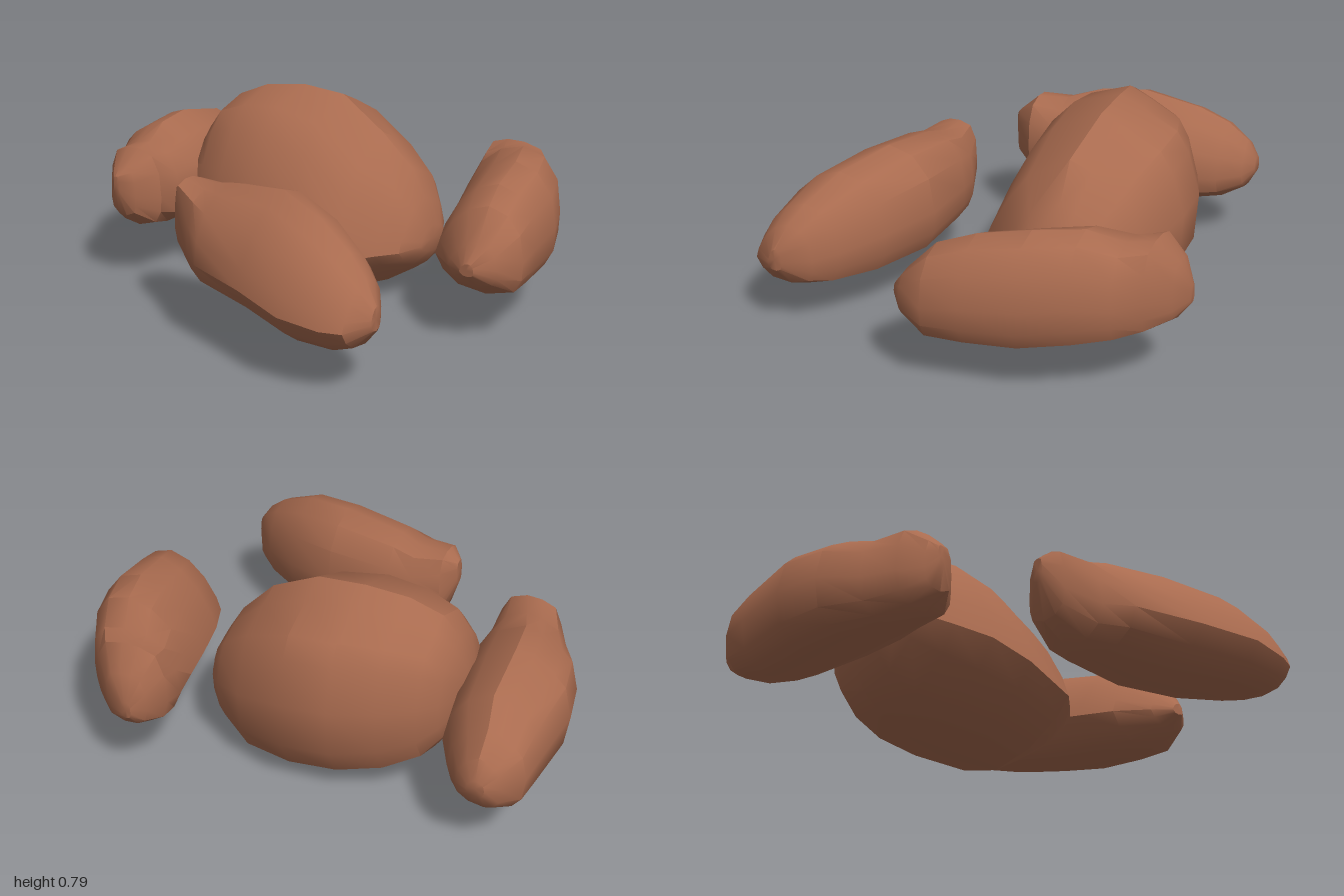
import * as THREE from 'three';
import { toCreasedNormals } from 'three/addons/utils/BufferGeometryUtils.js';

const clay = new THREE.MeshStandardMaterial({ color: 0xa96b4f });
clay.name = 'reddish brown stone';

// Unit cross-sections: u runs -1..1 across, v runs 0..1 upward, counter-clockwise
const boulderRing = [[1, 0.5], [0.87, 0.73], [0.74, 0.84], [0.36, 0.94], [0.1, 1], [-0.41, 0.92], [-0.66, 0.79],
  [-0.9, 0.56], [-1, 0.38], [-0.8, 0.23], [-0.33, 0.06], [0.25, 0], [0.78, 0.08], [0.96, 0.24]];
const boulderSlopedRing = [[1, 0.5], [0.87, 0.73], [0.74, 0.84], [0.36, 0.94], [0.1, 1], [-0.41, 0.84], [-0.66, 0.66],
  [-0.9, 0.44], [-1, 0.3], [-0.82, 0.2], [-0.33, 0.06], [0.25, 0], [0.82, 0.08], [0.97, 0.24]];
const stoneRing = [[1, 0.44], [0.91, 0.74], [0.62, 0.93], [0.2, 1], [-0.25, 0.92], [-0.62, 0.74], [-0.9, 0.5],
  [-1, 0.34], [-0.8, 0.17], [-0.45, 0.04], [0.2, 0], [0.82, 0.09], [0.98, 0.24]];
const stoneBluntRing = [[1, 0.42], [0.95, 0.74], [0.7, 0.94], [0.2, 1], [-0.3, 1], [-0.74, 0.94], [-0.95, 0.7],
  [-1, 0.36], [-0.85, 0.14], [-0.45, 0.03], [0.2, 0], [0.85, 0.09], [0.98, 0.24]];
const backRing = [[1, 0.36], [0.87, 0.64], [0.5, 0.87], [0, 1], [-0.3, 0.95], [-0.68, 0.84], [-0.88, 0.74],
  [-1, 0.46], [-0.91, 0.18], [-0.68, 0.05], [-0.3, 0], [0.4, 0.04], [0.88, 0.17]];

// Lofts through stations of [position, sideMin, sideMax, bottom, top, blend from ring to endRing].
// Stations run toward +z for axis 'z' and toward -x for axis 'x'.
function rock(name, axis, ring, endRing, stations) {
  const n = ring.length, pos = [], index = [];
  const put = (p, side, y) => pos.push(...(axis === 'z' ? [side, y, p] : [p, y, side]));
  for (const [p, a, b, lo, hi, blend = 0] of stations) {
    ring.forEach(([u, v], j) => {
      const uu = u + (endRing[j][0] - u) * blend, vv = v + (endRing[j][1] - v) * blend;
      put(p, (a + b) / 2 + uu * (b - a) / 2, lo + vv * (hi - lo));
    });
  }
  for (let i = 0; i < stations.length - 1; i++) {
    for (let j = 0; j < n; j++) {
      const k = (j + 1) % n, r = i * n, s = r + n;
      index.push(r + j, r + k, s + k, r + j, s + k, s + j);
    }
  }
  // end caps
  const first = n * stations.length, lastRing = first - n;
  for (const [p, a, b, lo, hi] of [stations[0], stations[stations.length - 1]]) put(p, (a + b) / 2, (lo + hi) / 2);
  for (let j = 0; j < n; j++) {
    const k = (j + 1) % n;
    index.push(first, k, j, first + 1, lastRing + j, lastRing + k);
  }
  const geo = new THREE.BufferGeometry();
  geo.setAttribute('position', new THREE.Float32BufferAttribute(pos, 3));
  geo.setIndex(index);
  const mesh = new THREE.Mesh(toCreasedNormals(geo, 0.65), clay);
  mesh.name = name;
  return mesh;
}

export function createModel() {
  const group = new THREE.Group();
  group.name = 'rockCluster';

  // large central boulder
  group.add(rock('centralBoulder', 'z', boulderRing, boulderSlopedRing, [
    [-0.6, 0.12, 0.3, 0.32, 0.5],
    [-0.56, 0, 0.43, 0.22, 0.62],
    [-0.5, -0.04, 0.5, 0.14, 0.71],
    [-0.37, -0.09, 0.58, 0.075, 0.765],
    [-0.2, -0.125, 0.645, 0.04, 0.785],
    [0, -0.13, 0.65, 0.02, 0.77, 0.4],
    [0.22, -0.12, 0.57, 0, 0.65, 0.9],
    [0.35, 0, 0.5, 0.08, 0.52, 0.8],
    [0.42, 0.07, 0.42, 0.13, 0.41, 0.5],
    [0.46, 0.17, 0.35, 0.19, 0.3],
  ]));

  // long stone on the -x side
  group.add(rock('sideStone', 'z', stoneRing, stoneBluntRing, [
    [-0.27, -0.47, -0.42, 0.42, 0.52, 1],
    [-0.22, -0.54, -0.35, 0.28, 0.56, 1],
    [-0.1, -0.62, -0.31, 0.2, 0.555, 0.7],
    [0, -0.7, -0.3, 0.18, 0.58, 0.3],
    [0.27, -0.79, -0.3, 0.15, 0.61],
    [0.5, -0.87, -0.4, 0.135, 0.565],
    [0.67, -0.86, -0.51, 0.15, 0.485],
    [0.75, -0.83, -0.58, 0.18, 0.42],
    [0.81, -0.74, -0.68, 0.25, 0.34],
  ]));

  // long stone in front
  group.add(rock('frontStone', 'x', stoneRing, stoneBluntRing, [
    [0.87, 0.51, 0.55, 0.31, 0.38, 1],
    [0.83, 0.46, 0.64, 0.26, 0.48, 1],
    [0.75, 0.42, 0.73, 0.22, 0.56, 1],
    [0.66, 0.42, 0.81, 0.2, 0.56, 0.7],
    [0.53, 0.45, 0.89, 0.18, 0.61, 0.2],
    [0.35, 0.5, 0.96, 0.16, 0.6],
    [0.15, 0.56, 0.98, 0.155, 0.565],
    [0.01, 0.62, 1, 0.17, 0.52],
    [-0.1, 0.74, 0.95, 0.24, 0.41],
    [-0.155, 0.82, 0.88, 0.29, 0.34],
  ]));

  // long stone behind
  group.add(rock('backStone', 'x', backRing, stoneBluntRing, [
    [0.7, -0.86, -0.79, 0.29, 0.36],
    [0.66, -0.91, -0.73, 0.22, 0.43],
    [0.57, -0.97, -0.66, 0.17, 0.5],
    [0.45, -0.98, -0.59, 0.155, 0.56],
    [0.2, -1, -0.54, 0.16, 0.61],
    [0.02, -0.96, -0.52, 0.18, 0.6],
    [-0.13, -0.87, -0.53, 0.2, 0.555, 0.4],
    [-0.25, -0.8, -0.53, 0.23, 0.56, 0.8],
    [-0.33, -0.73, -0.6, 0.29, 0.49, 1],
    [-0.36, -0.69, -0.66, 0.38, 0.46, 1],
  ]));

  return group;
}
